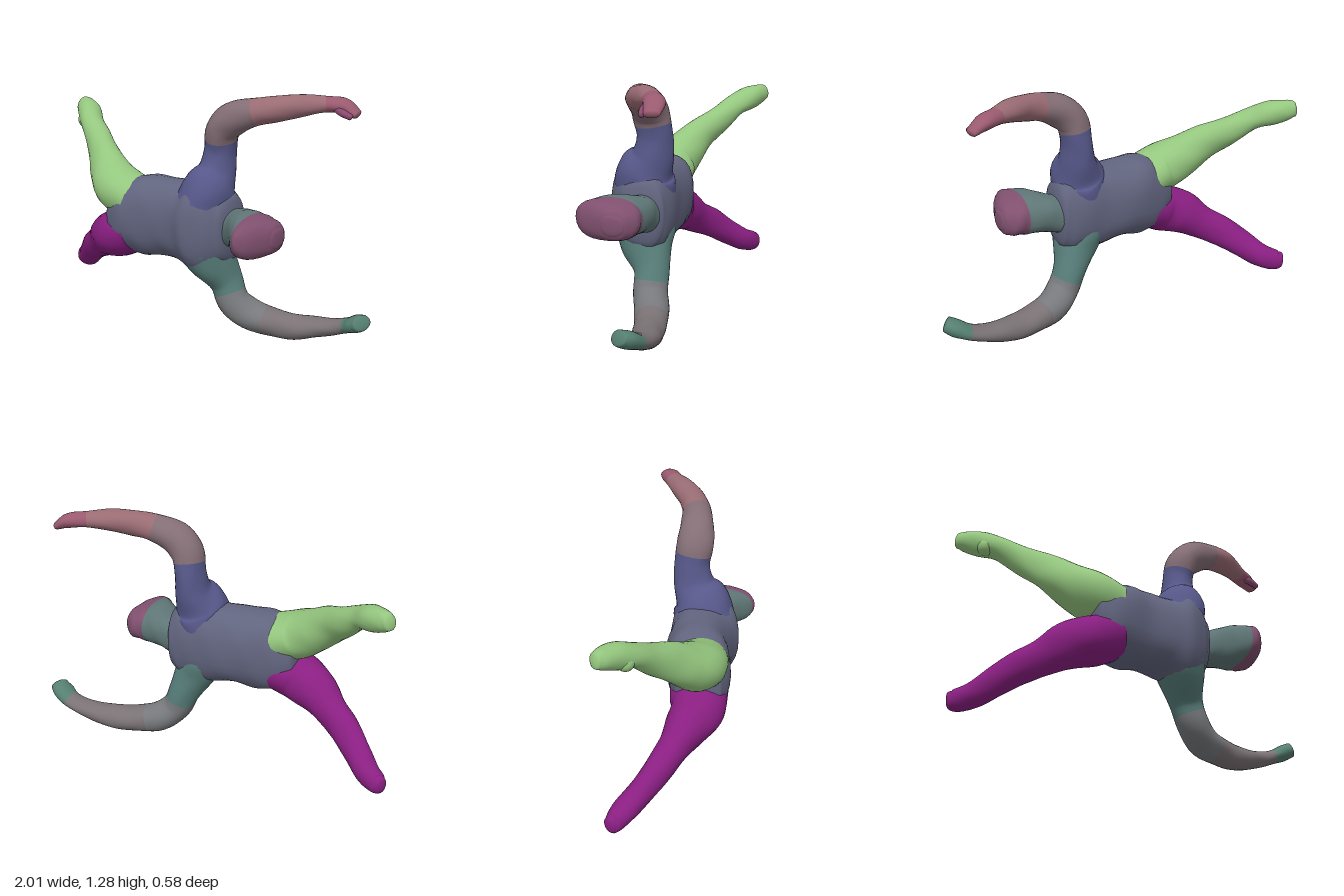
import * as THREE from 'three';

const SIDES = 28;
const bulge = (v, power) => Math.sign(v) * Math.abs(v) ** power;

// Smooth tube through rows of [x, y, z, half width in the xy plane, half depth].
// Only the stretch between row numbers `from` and `to` is built. `startDome` and `endDome` close an end
// with a rounded cap; without them it stays open where it meets the next part. A power below 1 squares
// the section off; `axis` keeps all sections parallel instead of following the path.
function loft(rows, { from = 0, to = rows.length - 1, startDome = 0, endDome = 0, power = 1, axis = null }) {
  const path = new THREE.CatmullRomCurve3(rows.map(r => new THREE.Vector3(r[0], r[1], r[2])), false, 'catmullrom', 0.5);
  const sizes = new THREE.CatmullRomCurve3(rows.map(r => new THREE.Vector3(r[3], r[4], 0)), false, 'catmullrom', 0.5);
  const last = rows.length - 1;
  const steps = Math.max(2, Math.round((to - from) * 6));
  const rings = [];
  if (startDome) for (let k = 0; k < 5; k++) rings.push([from, Math.sin(k * Math.PI / 10), -startDome * Math.cos(k * Math.PI / 10)]);
  for (let k = 0; k <= steps; k++) rings.push([from + (to - from) * k / steps, 1, 0]);
  if (endDome) for (let k = 1; k <= 5; k++) rings.push([to, Math.cos(k * Math.PI / 10), endDome * Math.sin(k * Math.PI / 10)]);

  const pos = [], index = [];
  const zAxis = new THREE.Vector3(0, 0, 1);
  rings.forEach(([row, scale, push], j) => {
    const t = row / last;
    const c = path.getPoint(t), size = sizes.getPoint(t), dir = axis ?? path.getTangent(t);
    const side = zAxis.clone().cross(dir).normalize();
    const depth = dir.clone().cross(side);
    c.addScaledVector(dir, push * Math.min(size.x, size.y));
    for (let i = 0; i < SIDES; i++) {
      const a = i / SIDES * Math.PI * 2;
      // gentle muscle swell along the surface
      const swell = scale * (1 + 0.015 * Math.sin(3 * a + row * 2.3) + 0.01 * Math.sin(5 * a - row * 4.1));
      const p = c.clone()
        .addScaledVector(side, size.x * swell * bulge(Math.cos(a), power))
        .addScaledVector(depth, size.y * swell * bulge(Math.sin(a), power));
      pos.push(p.x, p.y, p.z);
      if (j < rings.length - 1) {
        const q = j * SIDES + i, r = j * SIDES + (i + 1) % SIDES;
        index.push(q, r, q + SIDES, r, r + SIDES, q + SIDES);
      }
    }
  });
  const geo = new THREE.BufferGeometry();
  geo.setAttribute('position', new THREE.Float32BufferAttribute(pos, 3));
  geo.setIndex(index);
  geo.computeVertexNormals();
  return geo;
}

export function createModel() {
  const model = new THREE.Group();
  model.name = 'swimmingFigure';

  function add(name, color, rows, options) {
    const mesh = new THREE.Mesh(loft(rows, options), new THREE.MeshStandardMaterial({ color }));
    mesh.name = name;
    model.add(mesh);
  }

  // Torso from hips to shoulders
  const along = new THREE.Vector3(1, 0, 0);
  add('torso', 0x62657f, [
    [-0.38, 0.58, 0.11, 0.14, 0.12], [-0.30, 0.58, 0.10, 0.19, 0.155], [-0.20, 0.585, 0.08, 0.218, 0.168],
    [-0.08, 0.59, 0.06, 0.208, 0.163], [0.05, 0.585, 0.06, 0.215, 0.168], [0.14, 0.585, 0.07, 0.24, 0.18],
    [0.23, 0.585, 0.05, 0.225, 0.155], [0.28, 0.585, 0.03, 0.178, 0.125],
  ], { startDome: 0.2, endDome: 0.3, power: 0.85, axis: along });

  // Neck, face and crown
  const head = [
    [0.27, 0.587, 0.02, 0.10, 0.10], [0.31, 0.59, 0.025, 0.097, 0.10], [0.36, 0.60, 0.045, 0.10, 0.118],
    [0.42, 0.605, 0.08, 0.106, 0.143], [0.475, 0.602, 0.113, 0.106, 0.168], [0.51, 0.60, 0.117, 0.103, 0.172],
    [0.55, 0.597, 0.10, 0.092, 0.148], [0.585, 0.595, 0.07, 0.072, 0.09], [0.598, 0.595, 0.06, 0.05, 0.06],
  ];
  add('neckAndFace', 0x5f7676, head, { to: 4, power: 0.85, axis: along });
  add('crown', 0x80506f, head, { from: 4, endDome: 0.2, power: 0.85, axis: along });

  // Left shoulder and arm, bent at the elbow
  const leftArm = [
    [0.145, 0.70, 0.06, 0.135, 0.165], [0.165, 0.785, 0.042, 0.135, 0.148], [0.183, 0.87, 0.002, 0.094, 0.11],
    [0.192, 0.98, -0.012, 0.078, 0.094], [0.214, 1.085, 0, 0.083, 0.097], [0.285, 1.152, 0, 0.086, 0.088],
    [0.40, 1.193, -0.02, 0.07, 0.077], [0.50, 1.215, -0.06, 0.065, 0.07], [0.60, 1.235, -0.125, 0.056, 0.063],
    [0.70, 1.243, -0.19, 0.04, 0.052], [0.78, 1.237, -0.23, 0.038, 0.052], [0.845, 1.203, -0.24, 0.022, 0.04],
  ];
  add('leftUpperArm', 0x57588a, leftArm, { to: 3.5 });
  add('leftElbow', 0x846e76, leftArm, { from: 3.5, to: 6 });
  add('leftForearm', 0x9a6c74, leftArm, { from: 6, to: 9 });
  add('leftHand', 0x9a5a70, leftArm, { from: 9, endDome: 0.6 });
  add('leftThumb', 0x8a4a70, [
    [0.74, 1.24, -0.205, 0.025, 0.025], [0.79, 1.215, -0.185, 0.02, 0.02], [0.84, 1.195, -0.19, 0.015, 0.015],
  ], { endDome: 0.6 });

  // Right shoulder and arm, bent at the elbow
  const rightArm = [
    [0.155, 0.47, 0.055, 0.135, 0.16], [0.185, 0.395, 0.033, 0.116, 0.138], [0.235, 0.28, -0.01, 0.086, 0.094],
    [0.285, 0.17, -0.02, 0.081, 0.09], [0.37, 0.105, -0.06, 0.08, 0.09], [0.50, 0.078, -0.10, 0.07, 0.082],
    [0.60, 0.074, -0.125, 0.065, 0.078], [0.70, 0.089, -0.155, 0.053, 0.07], [0.80, 0.11, -0.17, 0.042, 0.06],
    [0.88, 0.137, -0.17, 0.038, 0.06], [0.94, 0.165, -0.152, 0.044, 0.064], [0.98, 0.184, -0.13, 0.04, 0.052],
  ];
  add('rightUpperArm', 0x587f7b, rightArm, { to: 2.5 });
  add('rightElbow', 0x77797c, rightArm, { from: 2.5, to: 4.5 });
  add('rightForearm', 0x7a7274, rightArm, { from: 4.5, to: 9 });
  add('rightHand', 0x567f72, rightArm, { from: 9, endDome: 0.3 });

  // Legs spread and swept back, each ending in a pointed foot
  add('leftLeg', 0x95c77f, [
    [-0.27, 0.665, 0.10, 0.12, 0.15], [-0.39, 0.702, 0.105, 0.127, 0.142], [-0.50, 0.767, 0.06, 0.112, 0.11],
    [-0.60, 0.84, 0.005, 0.096, 0.078], [-0.70, 0.905, -0.065, 0.076, 0.07], [-0.80, 0.973, -0.125, 0.058, 0.067],
    [-0.88, 1.01, -0.19, 0.066, 0.066], [-0.95, 1.03, -0.235, 0.055, 0.05], [-0.982, 1.037, -0.257, 0.043, 0.036],
  ], { endDome: 0.4 });
  add('rightLeg', 0x8a1f82, [
    [-0.27, 0.495, 0.10, 0.12, 0.15], [-0.39, 0.452, 0.107, 0.127, 0.14], [-0.50, 0.412, 0.07, 0.118, 0.112],
    [-0.60, 0.35, 0.022, 0.092, 0.08], [-0.70, 0.295, -0.03, 0.084, 0.072], [-0.80, 0.22, -0.10, 0.073, 0.064],
    [-0.88, 0.162, -0.165, 0.064, 0.063], [-0.95, 0.135, -0.205, 0.057, 0.05], [-0.98, 0.133, -0.222, 0.045, 0.035],
  ], { endDome: 0.4 });

  // Heels
  for (const [name, color, y, z] of [['leftHeel', 0x95c77f, 0.975, -0.148], ['rightHeel', 0x8a1f82, 0.185, -0.138]]) {
    const heel = new THREE.Mesh(new THREE.SphereGeometry(0.045, 20, 14), new THREE.MeshStandardMaterial({ color }));
    heel.name = name;
    heel.position.set(-0.87, y, z);
    model.add(heel);
  }

  return model;
}
